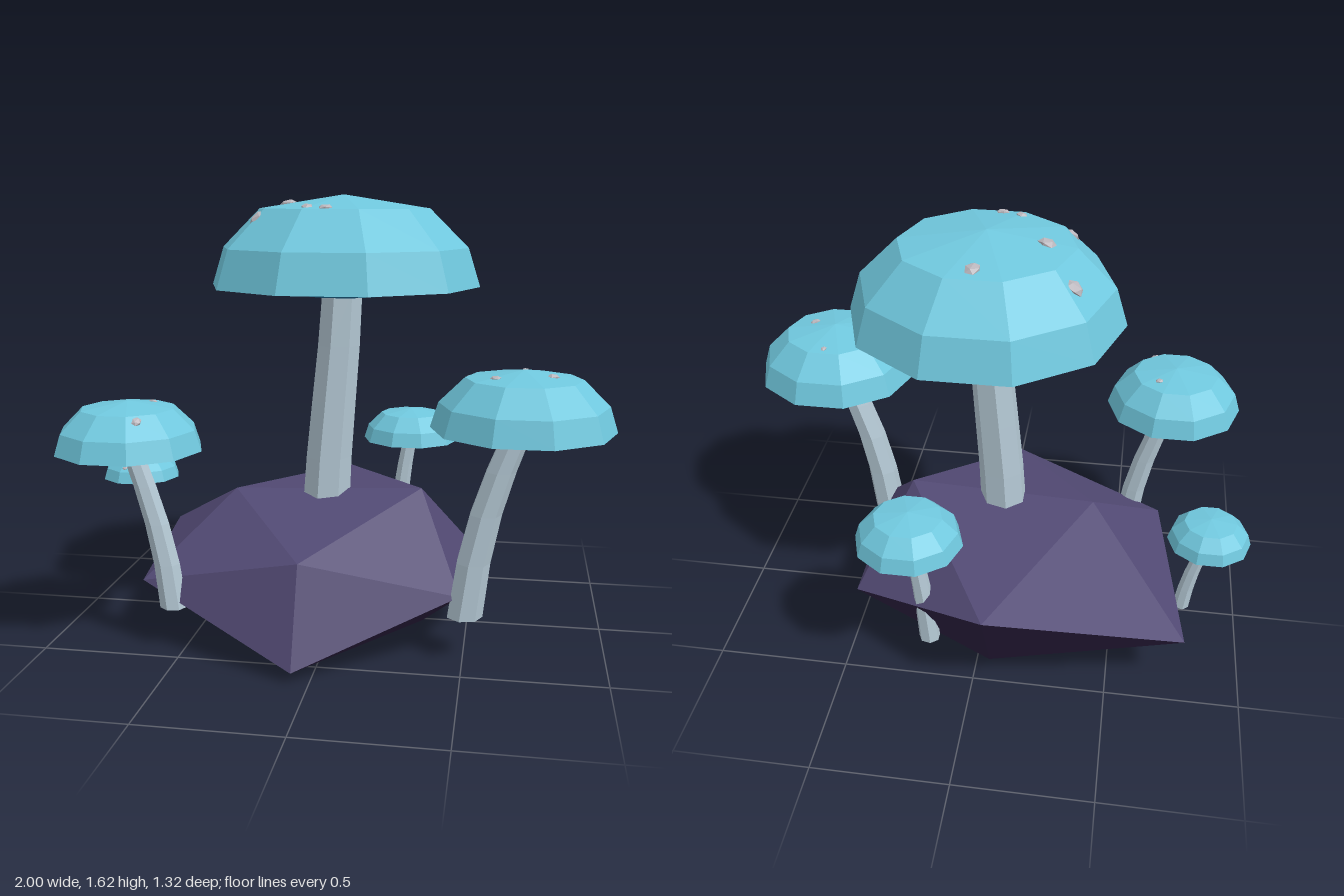
import * as THREE from 'three';

const mat = (name, color) => {
  const m = new THREE.MeshStandardMaterial({ color });
  m.name = name;
  return m;
};

// Splits shared corners so every facet gets its own flat normal
function facet(geometry) {
  const g = geometry.index ? geometry.toNonIndexed() : geometry;
  g.computeVertexNormals();
  return g;
}

function part(name, geometry, material) {
  const mesh = new THREE.Mesh(facet(geometry), material);
  mesh.name = name;
  return mesh;
}

// Cap profile at unit scale: radius, height above the rim
const CROWN = [[0.405, -0.004], [0.5, 0], [0.456, 0.14], [0.315, 0.28], [0, 0.33]];
const GILLS = [[0.15, -0.035], [0.405, -0.004]];
const COLLAR = [[0, -0.035], [0.15, -0.035]];

const ring = (profile) => new THREE.LatheGeometry(
  profile.map(([r, y]) => new THREE.Vector2(r, y)), 10, Math.PI / 2);

// Height of the crown above the rim at an offset from the cap's axis
function crownHeight(x, z) {
  const r = Math.hypot(x, z) * 1.03;
  for (let i = CROWN.length - 1; i > 1; i--) {
    const [r1, y1] = CROWN[i], [r0, y0] = CROWN[i - 1];
    if (r <= r0) return y1 + (y0 - y1) * (r - r1) / (r0 - r1);
  }
  return 0;
}

// Seven-sided stem that follows a bent path in x and tapers upwards
function stemGeometry(path, z, rBottom, rTop) {
  const curve = new THREE.CatmullRomCurve3(path.map(([x, y]) => new THREE.Vector3(x, y, z)));
  const g = new THREE.CylinderGeometry(rTop, rBottom, 1, 7, 4, false, Math.PI / 2);
  const p = g.attributes.position;
  for (let i = 0; i < p.count; i++) {
    const c = curve.getPoint(THREE.MathUtils.clamp(p.getY(i) + 0.5, 0, 1));
    p.setXYZ(i, p.getX(i) + c.x, c.y, p.getZ(i) + c.z);
  }
  return g;
}

// Rock: a stretched icosahedron, split into upper and lower faces
function rock(topMat, underMat) {
  const corners = [
    [-0.4, 0.5, 0.02], [0.32, 0.53, 0.02], [-0.41, 0, 0.02], [0.33, 0, 0.02],
    [-0.06, 0.04, 0.65], [-0.06, 0.38, 0.52], [-0.06, 0.08, -0.47], [-0.06, 0.44, -0.665],
    [0.485, 0.23, -0.32], [0.485, 0.23, 0.35], [-0.78, 0.23, -0.43], [-0.67, 0.23, 0.36],
  ].map((c) => new THREE.Vector3(...c));
  const faces = [
    0, 11, 5, 0, 5, 1, 0, 1, 7, 0, 7, 10, 0, 10, 11,
    1, 5, 9, 5, 11, 4, 11, 10, 2, 10, 7, 6, 7, 1, 8,
    3, 9, 4, 3, 4, 2, 3, 2, 6, 3, 6, 8, 3, 8, 9,
    4, 9, 5, 2, 4, 11, 6, 2, 10, 8, 6, 7, 9, 8, 1,
  ];
  const upper = [], lower = [], n = new THREE.Vector3();
  for (let i = 0; i < faces.length; i += 3) {
    const tri = faces.slice(i, i + 3).map((k) => corners[k]);
    new THREE.Triangle(...tri).getNormal(n);
    (n.y > 0 ? upper : lower).push(...tri);
  }
  const group = new THREE.Group();
  group.name = 'rock';
  group.add(
    part('rockTop', new THREE.BufferGeometry().setFromPoints(upper), topMat),
    part('rockUnderside', new THREE.BufferGeometry().setFromPoints(lower), underMat));
  return group;
}

// cap: centre x, rim height y, centre z, radius; stem: path of [x, y] and end radii
const MUSHROOMS = [
  {
    name: 'tallMushroom', cap: [0.02, 1.29, 0.01, 0.5], radii: [0.092, 0.076],
    path: [[-0.052, 0.4], [-0.032, 0.72], [-0.005, 1.0], [0.013, 1.27]],
    spots: [[-0.3, -0.17, 0.036], [0.03, -0.23, 0.034], [-0.19, 0, 0.036],
      [-0.26, 0.2, 0.036], [-0.07, 0.26, 0.026], [0, 0.285, 0.026]],
  },
  {
    name: 'frontRightMushroom', cap: [-0.687, 0.735, 0.405, 0.265], radii: [0.05, 0.038],
    path: [[-0.54, 0.155], [-0.57, 0.37], [-0.62, 0.56], [-0.675, 0.728]],
    spots: [[-0.62, 0.325, 0.016], [-0.6, 0.56, 0.02]],
  },
  {
    name: 'frontLeftMushroom', cap: [0.685, 0.835, 0.33, 0.315], radii: [0.065, 0.05],
    path: [[0.502, 0.155], [0.54, 0.42], [0.6, 0.64], [0.668, 0.825]],
    spots: [[0.49, 0.235, 0.026], [0.69, 0.17, 0.014], [0.59, 0.41, 0.02], [0.78, 0.37, 0.022]],
  },
  {
    name: 'backMushroom', cap: [0.232, 0.615, -0.46, 0.197], radii: [0.04, 0.029],
    path: [[0.17, 0.16], [0.185, 0.32], [0.203, 0.47], [0.226, 0.608]],
    spots: [],
  },
  {
    name: 'sideMushroom', cap: [-0.845, 0.49, -0.145, 0.155], radii: [0.032, 0.024],
    path: [[-0.772, 0.162], [-0.788, 0.28], [-0.812, 0.385], [-0.84, 0.485]],
    spots: [[-0.872, -0.025, 0.012]],
  },
];

export function createModel() {
  const teal = mat('cap teal', 0x70c8de);
  const blue = mat('gill blue', 0x2073a0);
  const pale = mat('stem grey blue', 0xb4c8d4);
  const grey = mat('spot grey', 0xbab6bc);
  const purple = mat('rock purple', 0x524a74);
  const dark = mat('rock dark purple', 0x2b1f40);

  const model = new THREE.Group();
  model.name = 'mushroomRock';
  model.add(rock(purple, dark));

  for (const { name, cap: [cx, cy, cz, radius], radii, path, spots } of MUSHROOMS) {
    const mushroom = new THREE.Group();
    mushroom.name = name;
    mushroom.add(part('stem', stemGeometry(path, cz, ...radii), pale));

    // Cap with its gills and the collar round the stem
    const s = radius / 0.5;
    const cap = new THREE.Group();
    cap.name = 'cap';
    cap.position.set(cx, cy, cz);
    cap.scale.setScalar(s);
    cap.add(part('crown', ring(CROWN), teal), part('gills', ring(GILLS), blue),
      part('collar', ring(COLLAR), teal));
    mushroom.add(cap);

    // Small pebbly spots sitting on the crown
    spots.forEach(([x, z, size], i) => {
      const spot = part('spot', new THREE.IcosahedronGeometry(1, 0), grey);
      const dx = x - cx, dz = z - cz;
      spot.position.set(x, cy + s * crownHeight(dx / s, dz / s), z);
      spot.scale.set(size, size * 0.45, size * 0.85);
      const slope = Math.hypot(dx, dz) / radius > 0.62 ? 0.75 : 0.2;
      spot.quaternion.setFromAxisAngle(new THREE.Vector3(dz, 0, -dx).normalize(), slope);
      spot.rotateY(i * 1.3);
      mushroom.add(spot);
    });
    model.add(mushroom);
  }
  return model;
}
